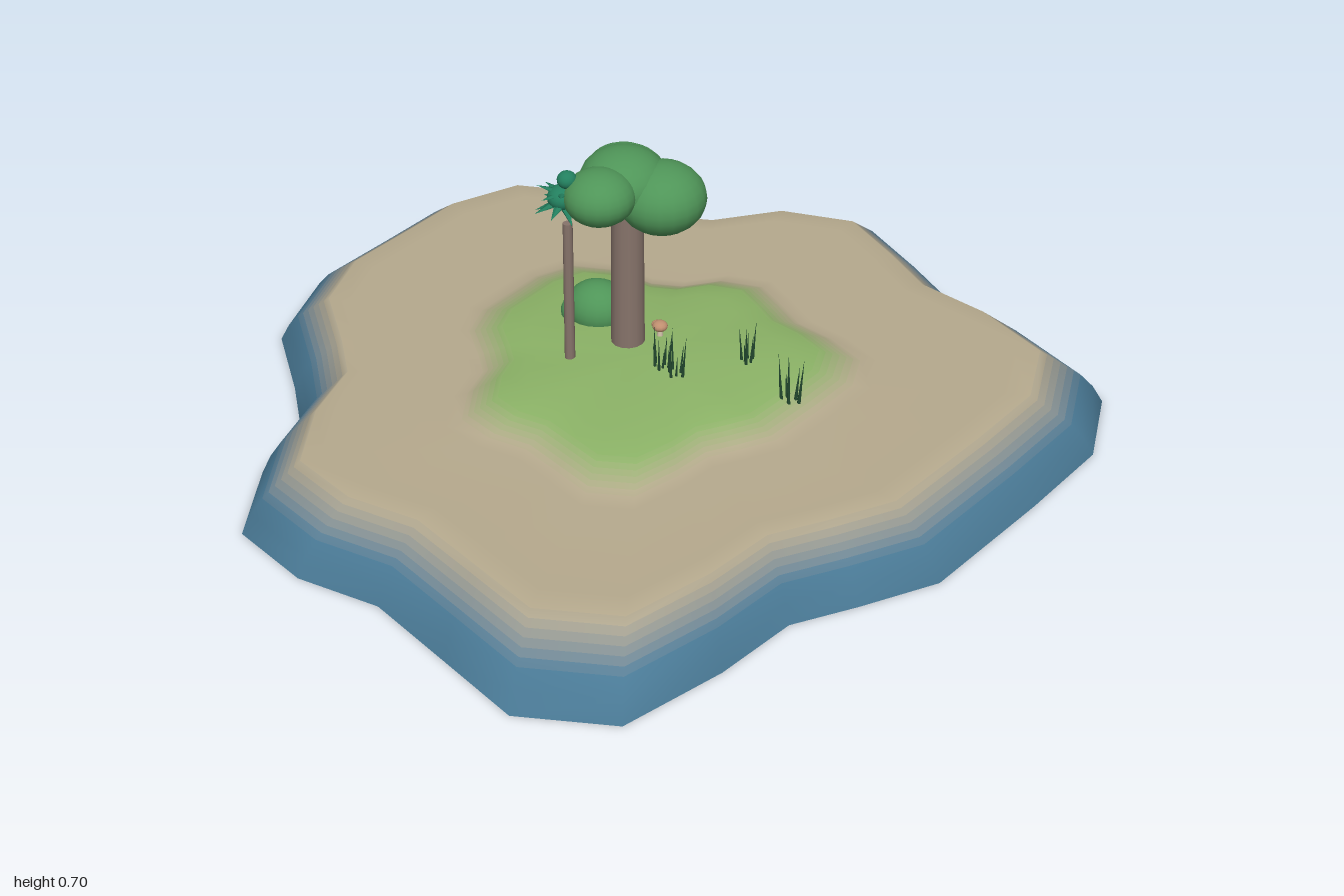
import * as THREE from 'three';

const mat = (color, opts = {}) => new THREE.MeshStandardMaterial({ color, ...opts });
const BLUE = 0x4a7a96, SAND = 0xb5a98d, GRASS = 0x8bb266;
const leafMat = mat(0x4f9558), palmMat = mat(0x23805f), bladeMat = mat(0x234a30);
const barkMat = mat(0x86736a), rockMat = mat(0xb4b4b4), capMat = mat(0xc08f70), stemMat = mat(0xd8c8ae);

// Shoreline as x, z pairs, running from +x towards +z
const SHORE = [
  0.98, -0.29, 0.90, -0.05, 0.775, 0.285, 0.64, 0.42, 0.52, 0.53, 0.44, 0.72, 0.31, 0.94, 0.09, 0.99,
  -0.10, 0.885, -0.30, 0.775, -0.50, 0.75, -0.685, 0.655, -0.75, 0.44, -0.755, 0.245, -0.84, 0.11,
  -0.97, -0.07, -0.99, -0.28, -0.92, -0.50, -0.865, -0.68, -0.73, -0.85, -0.495, -0.89, -0.27, -0.83,
  -0.11, -0.86, 0.065, -0.985, 0.28, -1.0, 0.435, -0.86, 0.565, -0.73, 0.76, -0.65, 0.955, -0.51,
];

// Cross-section of the island: outline scale, height, colour, steps to the next entry
const SECTION = [
  [1.0, 0, BLUE, 1], [0.975, 0.045, BLUE, 1], [0.945, 0.08, BLUE, 6], [0.85, 0.155, SAND, 1],
  [0.79, 0.156, SAND, 1], [0.5, 0.156, SAND, 1], [0.46, 0.163, SAND, 6], [0.37, 0.2, GRASS, 1],
  [0.3, 0.212, GRASS, 1], [0.15, 0.22, GRASS, 1], [0, 0.222, GRASS, 0],
];

function add(parent, name, geometry, material, pos = [0, 0, 0], scale = [1, 1, 1]) {
  const mesh = new THREE.Mesh(geometry, material);
  mesh.name = name;
  mesh.position.set(...pos);
  mesh.scale.set(...scale);
  parent.add(mesh);
  return mesh;
}

function group(parent, name, pos = [0, 0, 0]) {
  const g = new THREE.Group();
  g.name = name;
  g.position.set(...pos);
  parent.add(g);
  return g;
}

// Open shell of scaled shoreline rings, split into coloured bands that share smooth normals
function buildIsland(root) {
  const n = SHORE.length / 2, rings = [];
  SECTION.forEach(([s, y, c, steps], k) => {
    if (!steps) return rings.push({ s, y, c: new THREE.Color(c) });
    const [s2, y2, c2] = SECTION[k + 1];
    for (let i = 0; i < steps; i++) {
      const t = i / steps, blend = steps > 1 ? (i + 0.5) / steps : 0;
      rings.push({
        s: THREE.MathUtils.lerp(s, s2, t),
        y: THREE.MathUtils.lerp(y, y2, t),
        c: new THREE.Color(c).lerp(new THREE.Color(c2), blend),
      });
    }
  });
  const positions = [], bands = [];
  rings.forEach((r, i) => {
    for (let j = 0; j < n; j++) positions.push(SHORE[2 * j] * r.s, r.y, SHORE[2 * j + 1] * r.s);
    if (i === rings.length - 1) return;
    const band = [];
    for (let j = 0; j < n; j++) {
      const a = i * n + j, b = i * n + (j + 1) % n;
      band.push(a, a + n, b);
      if (i < rings.length - 2) band.push(b, a + n, b + n);
    }
    bands.push(band);
  });
  const whole = new THREE.BufferGeometry();
  whole.setAttribute('position', new THREE.Float32BufferAttribute(positions, 3));
  whole.setIndex(bands.flat());
  whole.computeVertexNormals();

  const island = group(root, 'island');
  bands.forEach((band, i) => {
    const g = new THREE.BufferGeometry();
    g.setAttribute('position', whole.attributes.position);
    g.setAttribute('normal', whole.attributes.normal);
    g.setIndex(band);
    const name = rings[i].s > 0.85 ? 'shoreSlope' : rings[i].s > 0.46 ? 'sand' : 'grassHill';
    add(island, name, g, mat(rings[i].c, { side: THREE.DoubleSide }));
  });
}

// Clusters of squashed balls; each entry is centre then radii
function blobs(parent, name, material, list) {
  const ball = new THREE.SphereGeometry(1, 20, 14);
  for (const [x, y, z, rx, ry, rz] of list) add(parent, name, ball, material, [x, y, z], [rx, ry, rz]);
}

function buildBroadTree(root) {
  const tree = group(root, 'broadTree');
  add(tree, 'trunk', new THREE.CylinderGeometry(0.036, 0.039, 0.4, 14), barkMat, [-0.057, 0.39, -0.048]);
  blobs(tree, 'crown', leafMat, [
    [0.015, 0.595, -0.07, 0.1, 0.08, 0.1],
    [-0.07, 0.625, -0.06, 0.1, 0.075, 0.1],
    [-0.09, 0.63, 0.035, 0.08, 0.062, 0.08],
    [-0.09, 0.6, -0.13, 0.095, 0.072, 0.073],
  ]);
}

// Thin trunk with a rosette of flat pointed leaves in two tiers
function buildSlimTree(root) {
  const tree = group(root, 'slimTree', [-0.155, 0, 0.06]);
  add(tree, 'slimTrunk', new THREE.CylinderGeometry(0.011, 0.012, 0.38, 10), barkMat, [0, 0.375, 0]);
  const leaf = new THREE.ConeGeometry(0.02, 0.08, 6).translate(0, 0.04, 0).scale(1, 1, 0.5).rotateX(Math.PI / 2);
  const top = group(tree, 'rosette', [-0.012, 0.62, -0.005]);
  for (const [count, tilt, y, size] of [[9, 0.25, 0, 0.9], [8, -0.3, 0.015, 0.75]]) {
    for (let i = 0; i < count; i++) {
      const m = add(top, 'leaf', leaf, palmMat, [0, y, 0], [size, size, size]);
      m.rotation.set(tilt + (i % 2) * 0.25, (i / count) * Math.PI * 2 + y * 20, 0, 'YXZ');
    }
  }
  blobs(top, 'leafHeart', palmMat, [[0, 0.005, 0, 0.035, 0.028, 0.035], [0.01, 0.05, 0, 0.022, 0.02, 0.022]]);
}

// Tufts of upright blades fanned around a centre
function buildGrassTufts(root) {
  const blade = new THREE.ConeGeometry(0.0045, 1, 5).translate(0, 0.5, 0);
  const tufts = [
    [0.35, 0.185, 0.005, 0.022], [0.222, 0.195, -0.07, 0.015], [0.09, 0.2, 0.045, 0.02],
    [0.05, 0.2, 0.03, 0.018], [-0.13, 0.2, -0.235, 0.015],
  ];
  for (const [x, y, z, r] of tufts) {
    const tuft = group(root, 'grassTuft', [x, y, z]);
    for (let i = 0; i < 6; i++) {
      const a = i * 2.4 + x * 9, d = r * (0.4 + 0.12 * i);
      const m = add(tuft, 'blade', blade, bladeMat, [Math.cos(a) * d, 0, Math.sin(a) * d], [1, 0.075 + 0.011 * i, 1]);
      m.rotation.set(Math.sin(a) * 0.08, 0, -Math.cos(a) * 0.08);
    }
  }
}

export function createModel() {
  const root = new THREE.Group();
  root.name = 'islandScene';
  buildIsland(root);
  buildBroadTree(root);
  buildSlimTree(root);
  buildGrassTufts(root);

  blobs(group(root, 'bush'), 'bushLobe', leafMat, [
    [-0.165, 0.235, -0.135, 0.075, 0.064, 0.068],
    [-0.18, 0.222, -0.19, 0.05, 0.04, 0.045],
    [-0.205, 0.222, -0.125, 0.045, 0.04, 0.045],
  ]);

  // Rocks buried under the hill
  blobs(group(root, 'rocks'), 'rock', rockMat, [
    [0.15, 0.125, -0.15, 0.088, 0.065, 0.08],
    [-0.06, 0.13, 0.21, 0.07, 0.055, 0.07],
  ]);

  // Small mushrooms beside the broad trunk
  for (const [x, z, s] of [[0.005, -0.09, 1], [-0.012, -0.115, 0.7]]) {
    const m = group(root, 'mushroom', [x, 0.2, z]);
    m.scale.setScalar(s);
    add(m, 'stem', new THREE.CylinderGeometry(0.006, 0.008, 0.05, 8), stemMat, [0, 0.02, 0]);
    add(m, 'cap', new THREE.SphereGeometry(0.018, 12, 8), capMat, [0, 0.046, 0], [1, 0.7, 1]);
  }
  return root;
}
